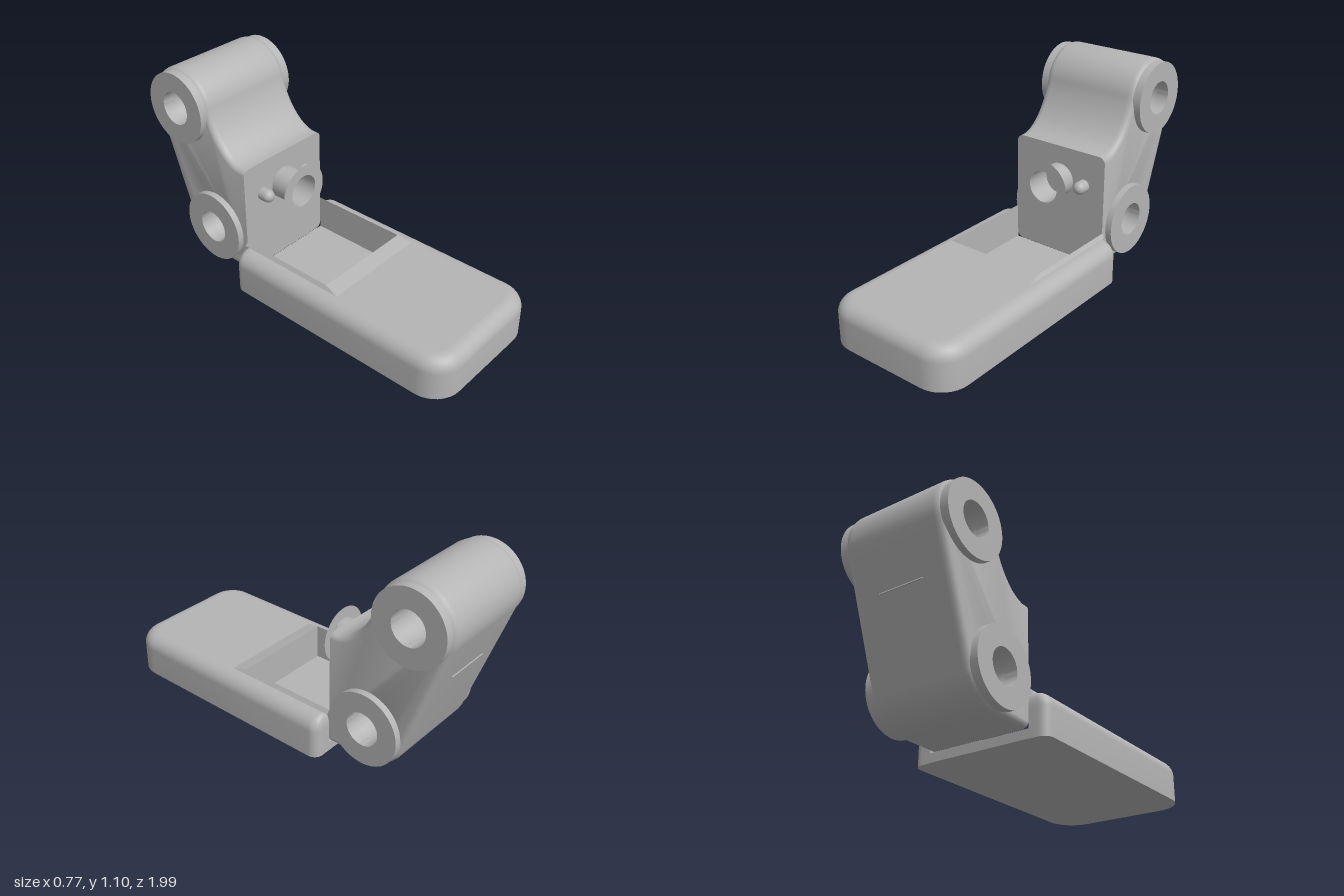
import * as THREE from 'three';
import { toCreasedNormals } from 'three/addons/utils/BufferGeometryUtils.js';

const grey = new THREE.MeshStandardMaterial({ color: 0xb4b4b4, side: THREE.DoubleSide });
grey.name = 'plain grey';

function add(parent, name, geometry, x = 0, y = 0, z = 0) {
  const mesh = new THREE.Mesh(geometry, grey);
  mesh.name = name;
  mesh.position.set(x, y, z);
  parent.add(mesh);
  return mesh;
}

// Joins open rows of [x, y, z] points into a surface
function loft(rows, crease) {
  const n = rows[0].length, index = [];
  for (let j = 0; j < rows.length - 1; j++) {
    for (let i = 0; i < n - 1; i++) {
      const a = j * n + i, c = a + n;
      index.push(a, c, a + 1, a + 1, c, c + 1);
    }
  }
  const g = new THREE.BufferGeometry();
  g.setAttribute('position', new THREE.Float32BufferAttribute(rows.flat(2), 3));
  g.setIndex(index);
  return toCreasedNormals(g, crease);
}

const BACK = -0.335, HALF = 0.285;

// Base outline inset by d, from the right end of the rear notch round to the left end
function baseOutline(d) {
  const w = 0.385 - d, zb = BACK + 0.4 * d, zf = 1 - d, rb = 0.05 - 0.4 * d, rf = 0.15 - d;
  const half = [[HALF, zb]];
  const arc = (cx, cz, r, start) => {
    for (let i = 0; i <= 8; i++) {
      const a = start + (i / 8) * Math.PI / 2;
      half.push([cx + r * Math.cos(a), cz + r * Math.sin(a)]);
    }
  };
  arc(w - rb, zb + rb, rb, -Math.PI / 2);
  arc(w - rf, zf - rf, rf, 0);
  return half.concat(half.map(([x, z]) => [-x, z]).reverse());
}

function makeBase() {
  const base = new THREE.Group();
  base.name = 'base';
  const top = 0.225, r = 0.075;
  const row = (d, y) => baseOutline(d).map(([x, z]) => [x, y, z]);
  const rows = [row(0, 0)];
  for (let i = 0; i <= 8; i++) {
    const a = (i / 8) * Math.PI / 2;
    rows.push(row(r * (1 - Math.cos(a)), top - r + r * Math.sin(a)));
  }
  add(base, 'baseShell', loft(rows, 0.7));

  const notch = [[-HALF, 0.22], [HALF, 0.22]];
  const topShape = new THREE.Shape(baseOutline(r).concat(notch).map(([x, z]) => new THREE.Vector2(x, -z)));
  add(base, 'baseTop', new THREE.ShapeGeometry(topShape).rotateX(-Math.PI / 2), 0, top, 0);
  const bottom = new THREE.Shape(baseOutline(0).map(([x, z]) => new THREE.Vector2(x, z)));
  add(base, 'baseBottom', new THREE.ShapeGeometry(bottom).rotateX(Math.PI / 2));

  // Raised lip and walls of the recess
  const uRow = (x, z, y) => [[-x, y, BACK], [-x, y, z], [x, y, z], [x, y, BACK]];
  add(base, 'recessWalls', loft([uRow(HALF, 0.22, 0.05), uRow(HALF, 0.22, 0.245), uRow(0.3, 0.3, top)], 0.1));
  add(base, 'recessFloor', new THREE.BoxGeometry(2 * HALF, 0.048, 0.22 - BACK), 0, 0.026, (0.22 + BACK) / 2);
  return base;
}

// Pivot centres as [z, y]
const PIVOTS = [[-0.56, 0.257], [-0.785, 0.89]];

function circleHole(x, y, r) {
  return new THREE.Path().absarc(x, y, r, 0, Math.PI * 2, true);
}

function makeBody() {
  const body = new THREE.Group();
  body.name = 'body';

  // Side profile, drawn with -z to the right
  const [[z0, y0], [z1, y1]] = PIVOTS, r = 0.206, tilt = -0.345;
  const s = new THREE.Shape();
  s.moveTo(0.29, y0 - r);
  s.lineTo(-z0, y0 - r);
  s.absarc(-z0, y0, r, -Math.PI / 2, tilt, false);
  s.absarc(-z1, y1, r, tilt, 2.88, false);
  s.bezierCurveTo(0.56, 0.82, 0.47, 0.68, 0.36, 0.675);
  s.lineTo(0.29, 0.675);
  s.closePath();
  for (const [z, y] of PIVOTS) s.holes.push(circleHole(-z, y, 0.09));

  const bevel = 0.04;
  const g = new THREE.ExtrudeGeometry(s, {
    depth: 2 * (HALF - bevel), bevelThickness: bevel, bevelSize: 0.03, bevelOffset: -0.03,
    bevelSegments: 4, curveSegments: 28,
  });
  g.rotateY(Math.PI / 2).translate(-HALF + bevel, 0, 0);
  // Flatten the front to a sharp plane
  const p = g.attributes.position;
  for (let i = 0; i < p.count; i++) p.setZ(i, Math.min(p.getZ(i), BACK));
  add(body, 'bodyBlock', toCreasedNormals(g, 0.5));

  // Pivot bosses on both sides
  const ring = new THREE.Shape().absarc(0, 0, 0.195, 0, Math.PI * 2, false);
  ring.holes.push(circleHole(0, 0, 0.09));
  const boss = toCreasedNormals(
    new THREE.ExtrudeGeometry(ring, { depth: 0.07, bevelEnabled: false, curveSegments: 32 })
      .rotateY(Math.PI / 2).translate(-0.035, 0, 0), 0.5);
  for (const [z, y] of PIVOTS) {
    for (const side of [-1, 1]) add(body, 'pivotBoss', boss, side * 0.285, y, z);
  }

  // Narrow slot edges, front and back
  add(body, 'frontSlotLedge', new THREE.BoxGeometry(0.254, 0.006, 0.03), 0, 0.768, -0.53);
  const rear = add(body, 'rearSlotEdge', new THREE.BoxGeometry(0.254, 0.009, 0.012), 0, 0.6, -0.897);
  rear.rotation.x = 0.345;
  return body;
}

function makeSpout() {
  const spout = new THREE.Group();
  spout.name = 'spout';
  const y = 0.488;
  add(spout, 'spoutTube', new THREE.CylinderGeometry(0.088, 0.088, 0.145, 40, 1, true).rotateX(Math.PI / 2), 0, y, -0.2625);
  add(spout, 'spoutFlange', new THREE.RingGeometry(0.088, 0.148, 48), 0, y, -0.19);
  // Rounded locating pegs
  const peg = new THREE.CapsuleGeometry(0.035, 0.08, 8, 20).rotateX(Math.PI / 2);
  for (const side of [-1, 1]) add(spout, 'peg', peg, side * 0.158, y, -0.337);
  return spout;
}

export function createModel() {
  const model = new THREE.Group();
  model.name = 'hingedStand';
  model.add(makeBase(), makeBody(), makeSpout());
  return model;
}
